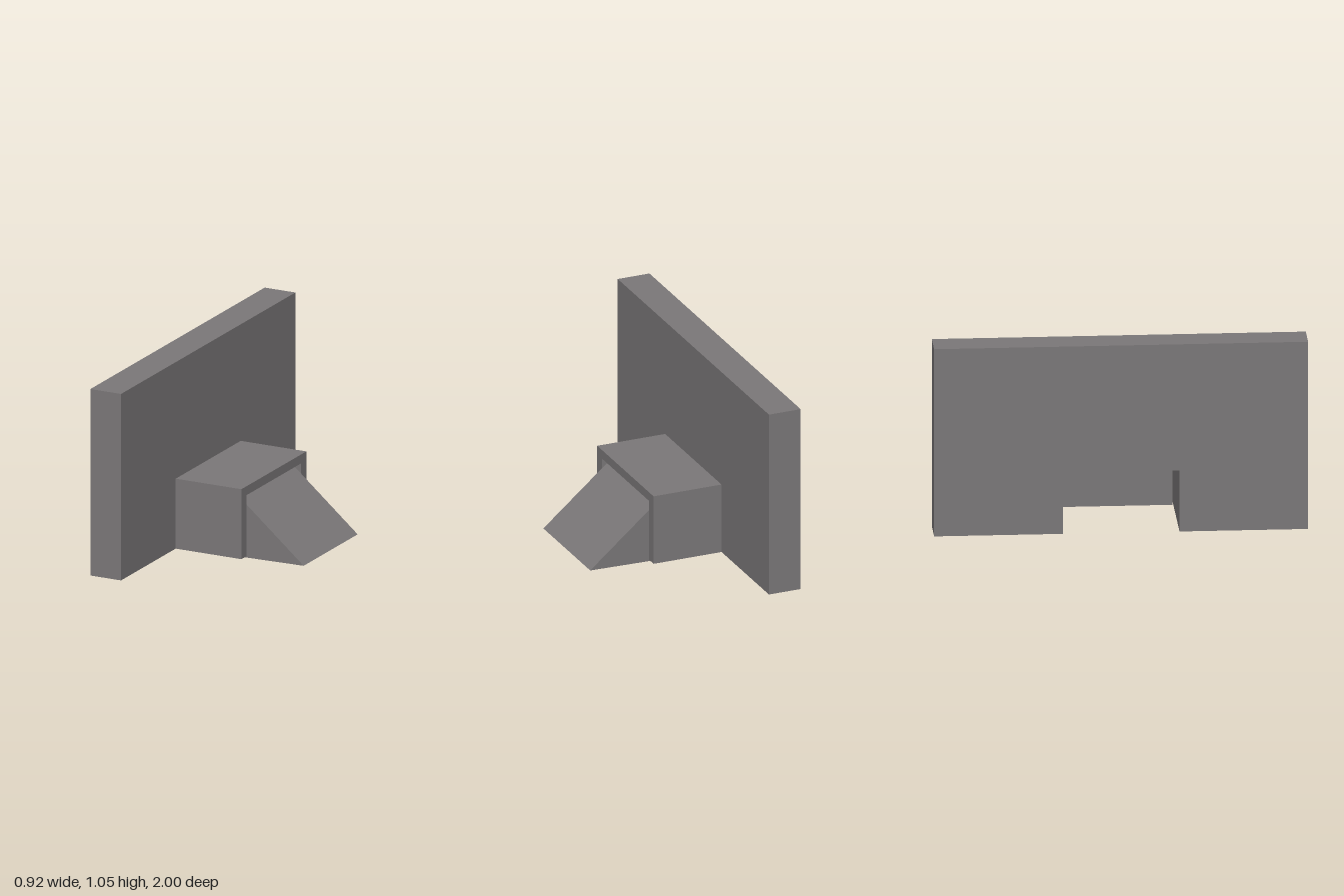
import * as THREE from 'three';

const BASE = 0.01;         // underside of wall and porch
const OPENING_HALF = 0.312;
const OPENING_TOP = 0.352;

// Upright slab facing +x with a doorway notch cut from its lower edge
function archSlab(halfWidth, top, x0, x1) {
  const s = new THREE.Shape();
  s.moveTo(-halfWidth, BASE);
  s.lineTo(-OPENING_HALF, BASE);
  s.lineTo(-OPENING_HALF, OPENING_TOP);
  s.lineTo(OPENING_HALF, OPENING_TOP);
  s.lineTo(OPENING_HALF, BASE);
  s.lineTo(halfWidth, BASE);
  s.lineTo(halfWidth, top);
  s.lineTo(-halfWidth, top);
  s.closePath();
  const g = new THREE.ExtrudeGeometry(s, { depth: x1 - x0, bevelEnabled: false });
  g.rotateY(Math.PI / 2);
  g.translate(x0, 0, 0);
  return g;
}

export function createModel() {
  const model = new THREE.Group();
  model.name = 'wallWithRampedDoorway';

  const grey = new THREE.MeshStandardMaterial({ color: 0x7b7879 });
  grey.name = 'warmGrey';

  const add = (name, geometry) => {
    const mesh = new THREE.Mesh(geometry, grey);
    mesh.name = name;
    model.add(mesh);
  };

  // Long wall and the porch around its doorway
  add('wall', archSlab(1, 1.055, -0.463, -0.278));
  add('porch', archSlab(0.373, 0.402, -0.278, 0.118));

  // Wedge ramp set into the mouth of the porch
  const profile = new THREE.Shape();
  profile.moveTo(0.055, 0);
  profile.lineTo(0.46, 0.006);
  profile.lineTo(0.055, 0.35);
  profile.closePath();
  const wedge = new THREE.ExtrudeGeometry(profile, { depth: 0.62, bevelEnabled: false });
  wedge.translate(0, 0, -0.31);
  add('ramp', wedge);

  return model;
}
